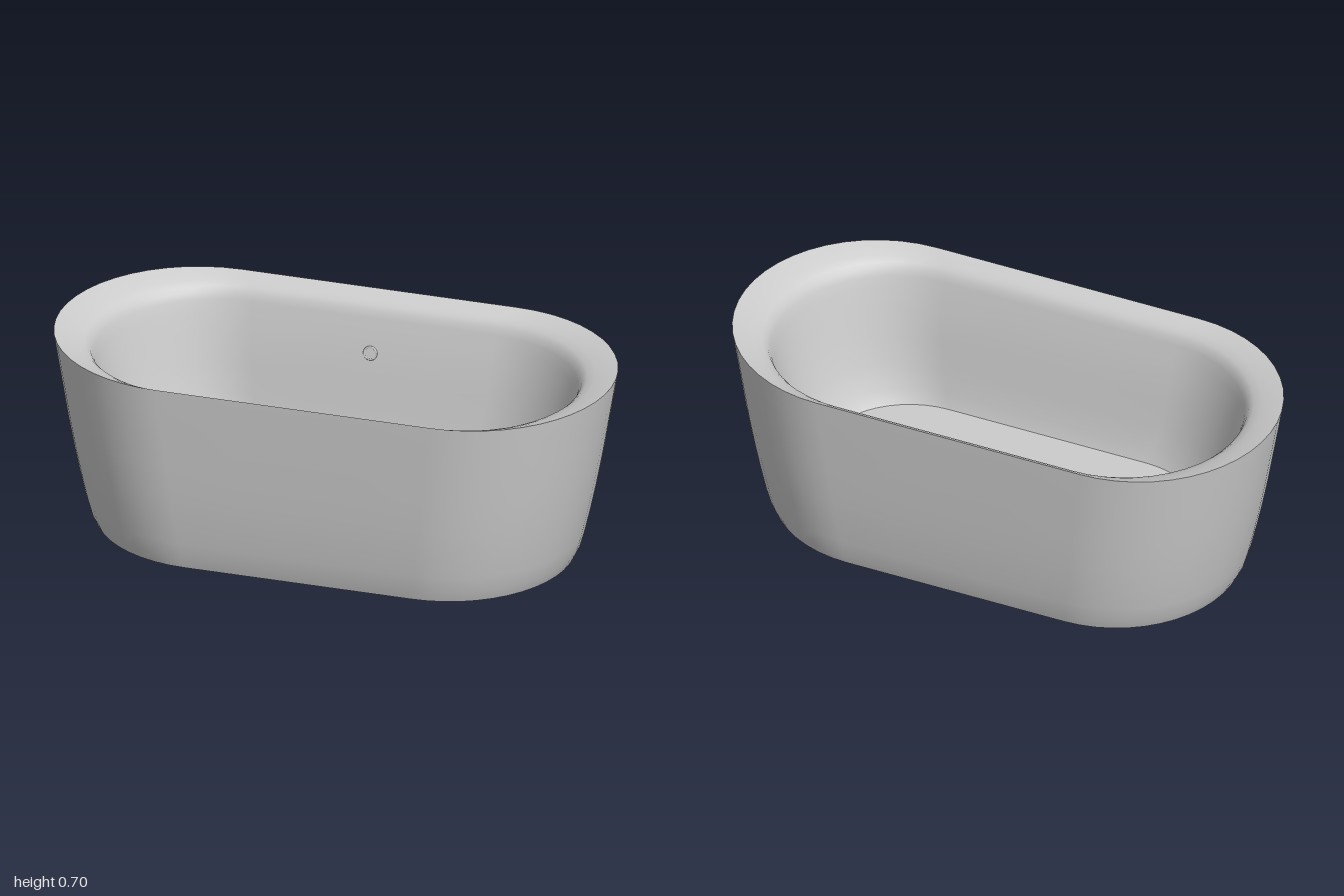
import * as THREE from 'three';

const material = new THREE.MeshStandardMaterial({ color: 0xcccccc });

// Loft of stadium-shaped rings; each row is [half length, half width, height]
function loft(name, rows, arc = 24, straight = 4) {
  const dirs = [];
  for (const side of [1, -1]) {
    for (let i = 0; i <= arc; i++) {
      const t = -Math.PI / 2 + (Math.PI * i) / arc;
      dirs.push([side, side * Math.cos(t), side * Math.sin(t)]);
    }
    for (let i = 1; i < straight; i++) dirs.push([side * (1 - (2 * i) / straight), 0, side]);
  }
  const n = dirs.length, pos = [], index = [];
  for (const [hx, hz, y] of rows) {
    for (const [k, c, s] of dirs) pos.push(k * (hx - hz) + c * hz, y, s * hz);
  }
  for (let r = 0; r < rows.length - 1; r++) {
    for (let i = 0; i < n; i++) {
      const a = r * n + i, b = r * n + ((i + 1) % n);
      index.push(a, a + n, b, b, a + n, b + n);
    }
  }
  const geometry = new THREE.BufferGeometry();
  geometry.setAttribute('position', new THREE.Float32BufferAttribute(pos, 3));
  geometry.setIndex(index);
  geometry.computeVertexNormals();
  const mesh = new THREE.Mesh(geometry, material);
  mesh.name = name;
  return mesh;
}

// Low disc with a raised ring, facing +y
function fitting(name, radius, tube) {
  const group = new THREE.Group();
  group.name = name;
  const plate = new THREE.Mesh(new THREE.CylinderGeometry(radius, radius, 0.006, 32), material);
  plate.name = name + 'Plate';
  const ring = new THREE.Mesh(new THREE.TorusGeometry(radius, tube, 8, 32), material);
  ring.name = name + 'Ring';
  ring.rotation.x = Math.PI / 2;
  group.add(plate, ring);
  return group;
}

export function createModel() {
  const model = new THREE.Group();
  model.name = 'bathtub';
  const floorY = 0.16;

  // Outer shell, flaring up to the rim
  model.add(loft('outerShell', [
    [0.85, 0.437, 0], [0.87, 0.449, 0.04], [0.887, 0.46, 0.1], [0.908, 0.47, 0.19],
    [0.927, 0.479, 0.28], [0.95, 0.486, 0.4], [0.97, 0.492, 0.52], [0.987, 0.497, 0.62], [1, 0.5, 0.7],
  ]));
  model.add(loft('underside', [[0.413, 0, 0], [0.85, 0.437, 0]]));

  // Rim slopes inward and rolls over into the basin wall
  model.add(loft('rimAndBasin', [
    [1, 0.5, 0.7], [0.96, 0.48, 0.689], [0.92, 0.459, 0.675], [0.89, 0.444, 0.662],
    [0.872, 0.432, 0.645], [0.86, 0.424, 0.62], [0.848, 0.415, 0.58], [0.828, 0.394, 0.5],
    [0.802, 0.377, 0.4], [0.772, 0.36, 0.3], [0.738, 0.343, 0.21], [0.7, 0.325, floorY],
  ]));
  model.add(loft('basinFloor', [[0.7, 0.325, floorY], [0.375, 0, floorY]]));

  // Drain in the floor
  const drain = fitting('drain', 0.028, 0.004);
  drain.position.set(0, floorY + 0.001, 0.083);
  model.add(drain);

  // Overflow on the back wall
  const overflow = fitting('overflow', 0.022, 0.004);
  overflow.position.set(0, 0.5, -0.393);
  overflow.rotation.x = Math.PI / 2 - 0.2;
  model.add(overflow);

  // Rows of tiny air jets in the floor
  const jets = new THREE.Group();
  jets.name = 'airJets';
  const jetGeometry = new THREE.CylinderGeometry(0.006, 0.006, 0.002, 10);
  for (const [z, count] of [[-0.13, 2], [-0.065, 5], [0, 6], [0.065, 5], [0.13, 2]]) {
    for (let i = -count; i <= count; i++) {
      if (i === 0 && z === 0.065) continue;
      const jet = new THREE.Mesh(jetGeometry, material);
      jet.name = 'airJet';
      jet.position.set(i * 0.065, floorY, z);
      jets.add(jet);
    }
  }
  model.add(jets);
  return model;
}
